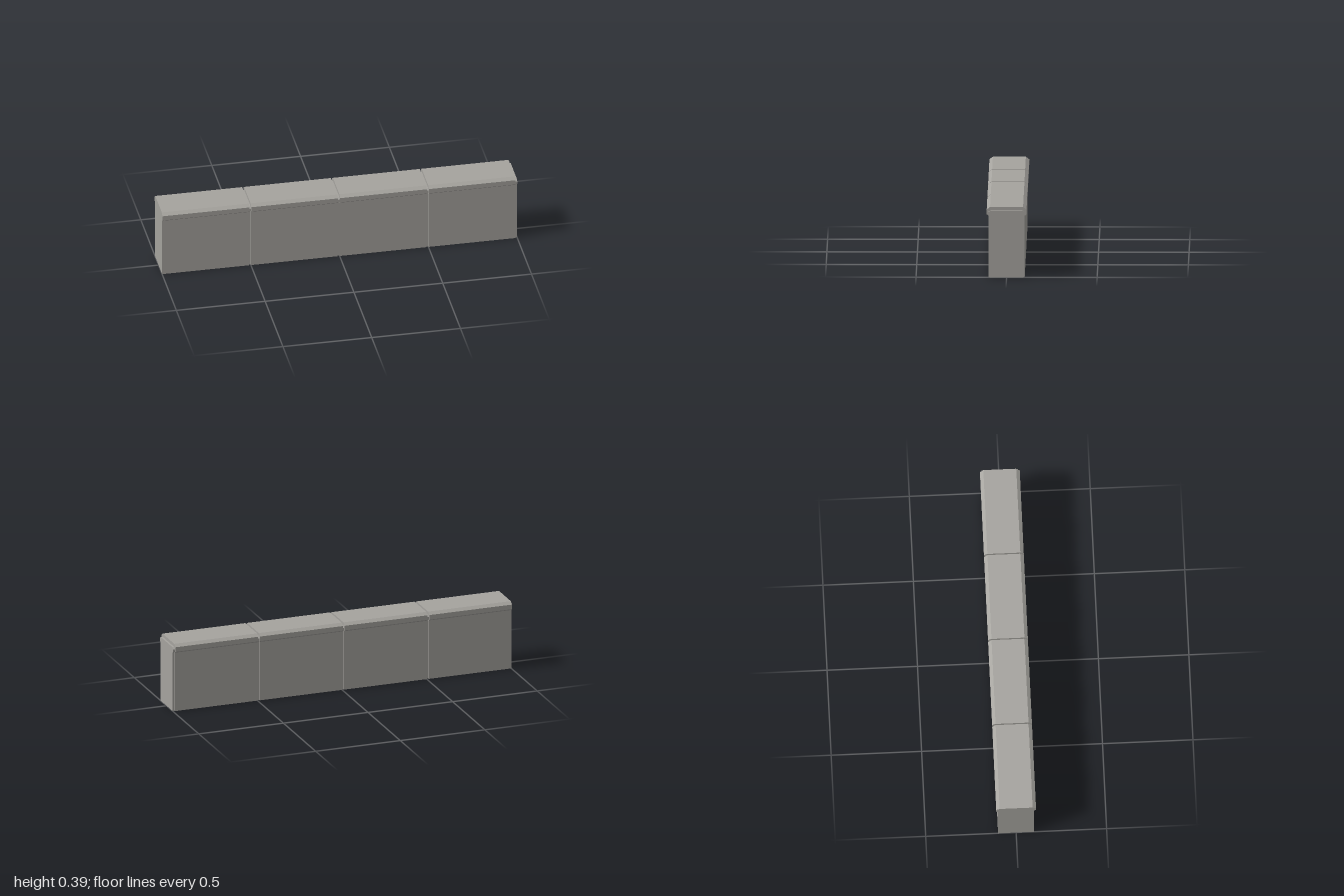
import * as THREE from 'three';

// Cross-section outlines as [z, y], front foot over the coping to the back foot
const mirror = (half) => [...half, ...half.map(([z, y]) => [-z, y]).reverse()];
const BLOCK = mirror([[0.1, 0], [0.1, 0.342], [0.11, 0.35], [0.11, 0.377], [0.091, 0.391]]);
const JOINT = mirror([[0.093, 0], [0.093, 0.342], [0.102, 0.349], [0.102, 0.363], [0.088, 0.373]]);

// Flat-sided mesh from a list of quads and triangles
function buildMesh(name, faces, material) {
  const positions = [];
  for (const [a, b, c, d] of faces) {
    positions.push(...a, ...b, ...c);
    if (d) positions.push(...a, ...c, ...d);
  }
  const geometry = new THREE.BufferGeometry();
  geometry.setAttribute('position', new THREE.Float32BufferAttribute(positions, 3));
  geometry.computeVertexNormals();
  const mesh = new THREE.Mesh(geometry, material);
  mesh.name = name;
  return mesh;
}

const at = (x, [z, y]) => [x, y, z];

// Shell swept along x, open underneath
function sweep(profile, x0, x1) {
  return profile.slice(1).map((q, i) => {
    const p = profile[i];
    return [at(x0, p), at(x1, p), at(x1, q), at(x0, q)];
  });
}

// Flat end wall, fanned from a point that sees the whole outline
function endWall(profile, x, facing) {
  const centre = [x, 0.35, 0];
  return profile.map((p, i) => {
    const q = profile[(i + 1) % profile.length];
    return facing > 0 ? [centre, at(x, q), at(x, p)] : [centre, at(x, p), at(x, q)];
  });
}

// Step from the block outline in to the narrower joint outline
function step(outer, inner, x) {
  return outer.slice(1).map((q, i) => [at(x, outer[i]), at(x, inner[i]), at(x, inner[i + 1]), at(x, q)]);
}

export function createModel() {
  const stone = new THREE.MeshStandardMaterial({ color: 0xa5a39e, side: THREE.DoubleSide });
  stone.name = 'stone grey';

  const wall = new THREE.Group();
  wall.name = 'lowWall';
  const count = 4, pitch = 0.5, gap = 0.011;

  for (let i = 0; i < count; i++) {
    const x0 = -1 + i * pitch, x2 = x0 + pitch, x1 = x2 - gap;
    const section = new THREE.Group();
    section.name = 'wallSection' + (i + 1);

    // Block with its bevelled coping
    section.add(buildMesh('copedBlock', [
      ...sweep(BLOCK, x0, x1),
      ...endWall(BLOCK, x0, -1),
      ...step(BLOCK, JOINT, x1),
    ], stone));

    // Recessed joint; only the last one is exposed at its end
    const joint = sweep(JOINT, x1, x2);
    if (i === count - 1) joint.push(...endWall(JOINT, x2, 1));
    section.add(buildMesh('recessedJoint', joint, stone));
    wall.add(section);
  }
  return wall;
}
